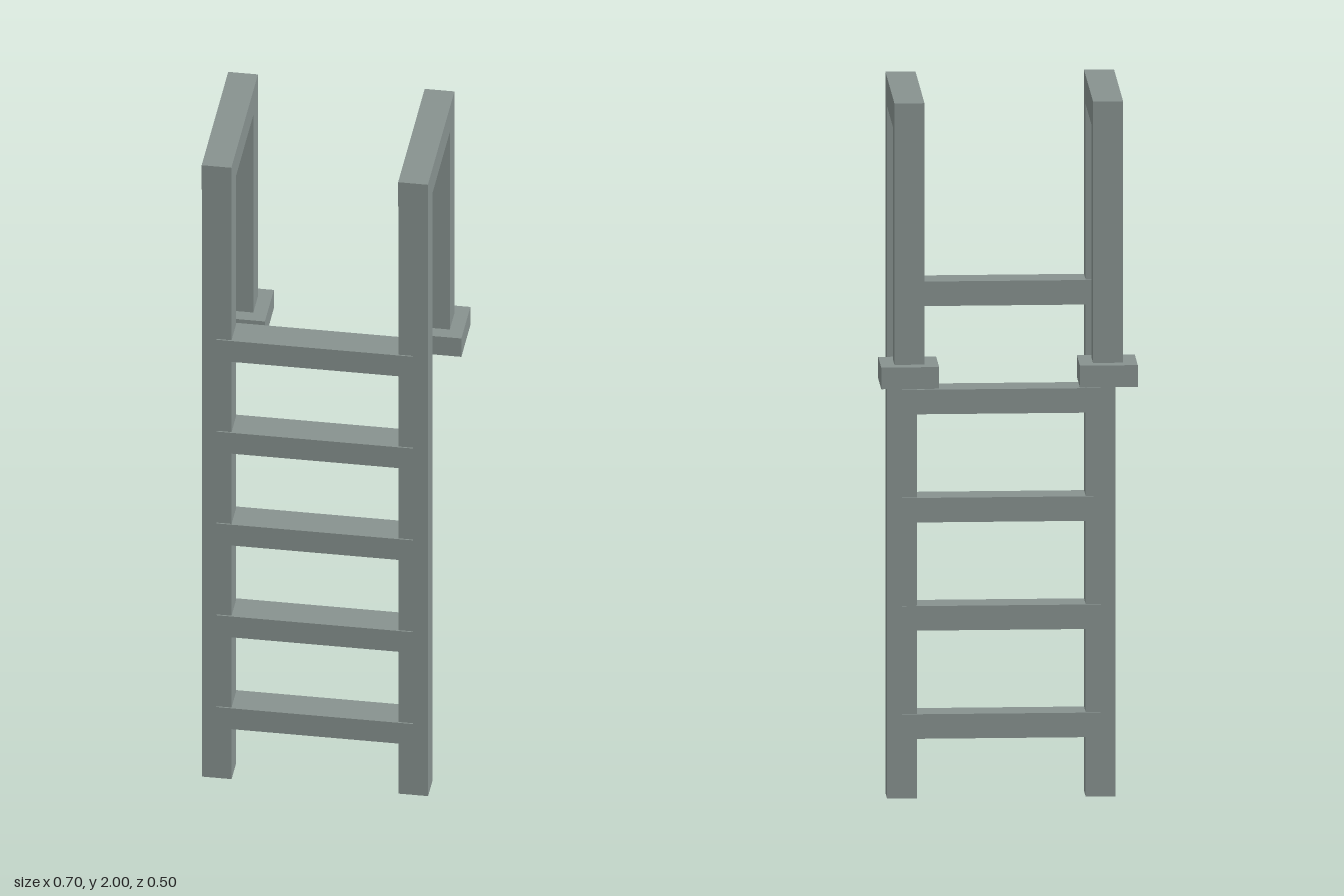
import * as THREE from 'three';

export function createModel() {
  const model = new THREE.Group();
  model.name = 'ladder';
  const metal = new THREE.MeshStandardMaterial({ color: 0x87928f });
  metal.name = 'grey metal';

  // Box given by its extents along each axis
  function bar(name, [x0, x1], [y0, y1], [z0, z1], parent) {
    const mesh = new THREE.Mesh(new THREE.BoxGeometry(x1 - x0, y1 - y0, z1 - z0), metal);
    mesh.position.set((x0 + x1) / 2, (y0 + y1) / 2, (z0 + z1) / 2);
    mesh.name = name;
    parent.add(mesh);
  }

  // Side rails: front post, top handrail, rear drop post and mounting foot
  for (const [name, s] of [['leftRail', 1], ['rightRail', -1]]) {
    const rail = new THREE.Group();
    rail.name = name;
    rail.position.x = s * 0.271;
    const w = [-0.041, 0.041];
    bar('frontPost', w, [0, 1.92], [0.167, 0.248], rail);
    bar('topHandrail', w, [1.92, 2], [-0.215, 0.252], rail);
    bar('rearPost', w, [1.275, 1.92], [-0.215, -0.134], rail);
    bar('mountingFoot', [-0.079, 0.079], [1.215, 1.275], [-0.253, -0.095], rail);
    model.add(rail);
  }

  // Rungs, slightly deeper than the posts and ending inside them
  for (let i = 0; i < 5; i++) {
    const y = 0.2 + i * 0.3;
    bar('rung' + (i + 1), [-0.271, 0.271], [y - 0.034, y + 0.034], [0.161, 0.252], model);
  }
  return model;
}
